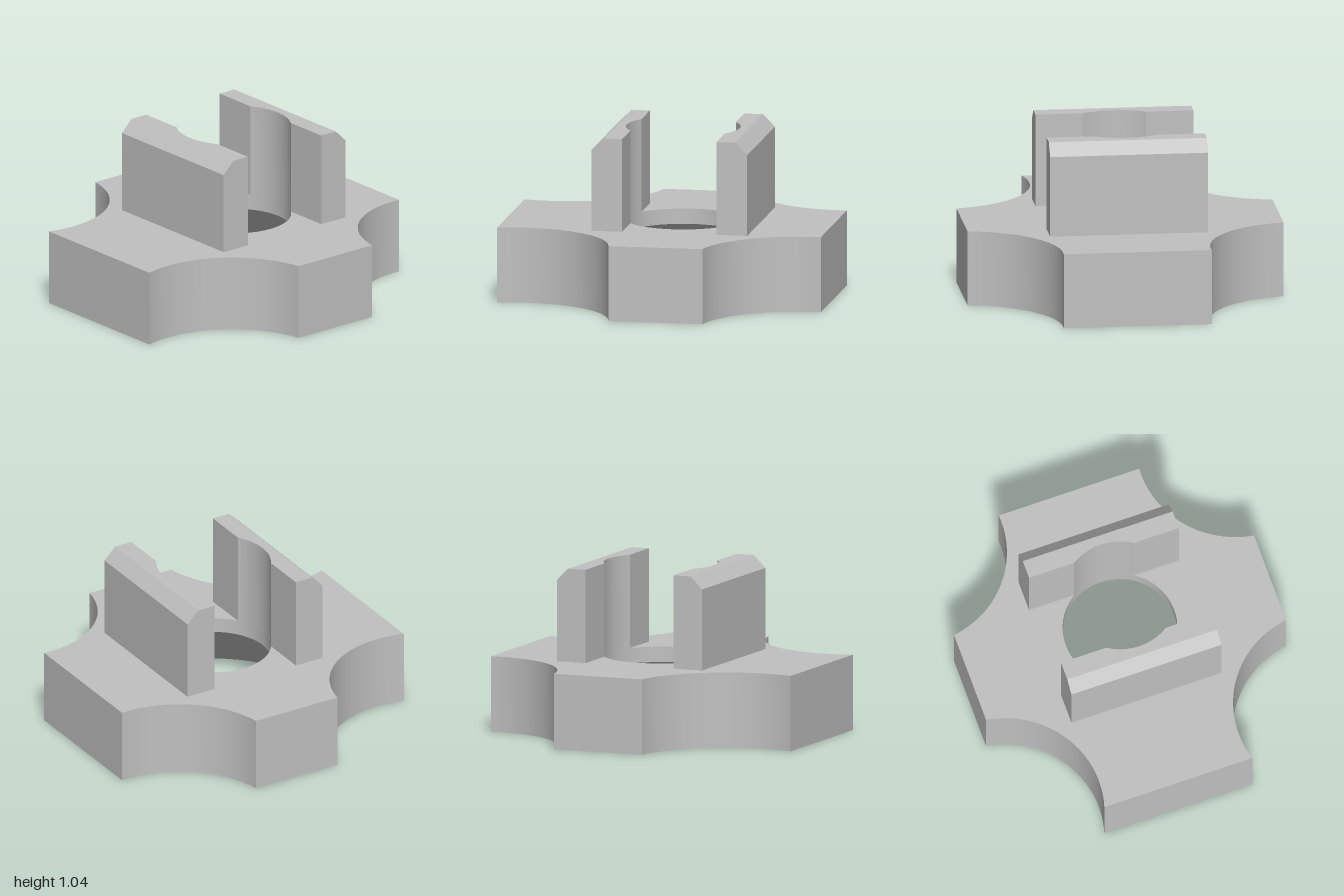
import * as THREE from 'three';
import { toCreasedNormals } from 'three/addons/utils/BufferGeometryUtils.js';

const BASE_H = 0.465, TOP = 1.04, BORE = 0.35, SINK = 0.7, SINK_H = 0.37;
const CUT = { x: 0.892, z: 1.06, r: 0.607 }; // corner scallop circle
const END_Z = 0.97, RIGHT = 0.933, LEFT = 1.067; // base extents about the bore axis
const FIN = { inner: 0.292, ridge: 0.407, outer: 0.483, half: 0.485, shoulder: 0.965 };

// Cross-shaped plan with four scalloped corners
function basePlan(holeRadius) {
  const shape = new THREE.Shape();
  const scallop = (sx, sz, sideFirst) => {
    const side = sx > 0 ? RIGHT : LEFT;
    const sideDz = -Math.sqrt(CUT.r ** 2 - (side - CUT.x) ** 2);
    const endDx = -Math.sqrt(CUT.r ** 2 - (END_Z - CUT.z) ** 2);
    const a = Math.atan2(sz * sideDz, sx * (side - CUT.x));
    const b = Math.atan2(sz * (END_Z - CUT.z), sx * endDx);
    shape.absarc(sx * CUT.x, sz * CUT.z, CUT.r, sideFirst ? a : b, sideFirst ? b : a, true);
  };
  scallop(1, 1, true);
  scallop(-1, 1, false);
  scallop(-1, -1, true);
  scallop(1, -1, false);
  shape.closePath();
  if (holeRadius) shape.holes.push(new THREE.Path().absarc(0, 0, holeRadius, 0, Math.PI * 2, true));
  return shape;
}

// Only the side walls of an extruded plan
function wallGeometry(shape, depth) {
  const full = new THREE.ExtrudeGeometry(shape, { depth, bevelEnabled: false, curveSegments: 32 });
  const { start, count } = full.groups[1];
  const wall = new THREE.BufferGeometry();
  const pos = full.attributes.position.array.slice(start * 3, (start + count) * 3);
  wall.setAttribute('position', new THREE.BufferAttribute(pos, 3));
  return toCreasedNormals(wall, 0.4).rotateX(-Math.PI / 2);
}

export function createModel() {
  const model = new THREE.Group();
  model.name = 'clampBlock';
  const grey = new THREE.MeshStandardMaterial({ color: 0xc0c0c0 });
  grey.name = 'lightGrey';
  const add = (parent, name, geometry) => {
    const mesh = new THREE.Mesh(geometry, grey);
    mesh.name = name;
    parent.add(mesh);
    return mesh;
  };

  // Base plate
  const base = new THREE.Group();
  base.name = 'base';
  model.add(base);
  add(base, 'baseWall', wallGeometry(basePlan(0), BASE_H));
  add(base, 'baseTop', new THREE.ShapeGeometry(basePlan(BORE), 32).rotateX(-Math.PI / 2)).position.y = BASE_H;
  add(base, 'baseBottom', new THREE.ShapeGeometry(basePlan(SINK), 32).rotateX(Math.PI / 2));

  // Bore opening into a conical countersink below
  const bore = [[BORE, BASE_H], [BORE, SINK_H], [SINK, 0]].map(p => new THREE.Vector2(...p));
  add(base, 'countersunkBore', toCreasedNormals(new THREE.LatheGeometry(bore, 64), 0.4));

  // Upright fins: an inner part bitten by the bore, and a chamfered outer part
  const bite = Math.acos(FIN.inner / BORE);
  const plan = new THREE.Shape();
  plan.moveTo(FIN.inner, -FIN.half);
  plan.lineTo(FIN.ridge, -FIN.half);
  plan.lineTo(FIN.ridge, FIN.half);
  plan.lineTo(FIN.inner, FIN.half);
  plan.absarc(0, 0, BORE, bite, -bite, true);
  plan.closePath();
  const innerGeo = toCreasedNormals(new THREE.ExtrudeGeometry(plan,
    { depth: TOP - BASE_H, bevelEnabled: false, curveSegments: 12 }), 0.4)
    .rotateX(-Math.PI / 2).translate(0, BASE_H, 0);

  const profile = new THREE.Shape([
    [FIN.ridge, BASE_H], [FIN.outer, BASE_H], [FIN.outer, FIN.shoulder], [FIN.ridge, TOP],
  ].map(p => new THREE.Vector2(...p)));
  const outerGeo = new THREE.ExtrudeGeometry(profile, { depth: FIN.half * 2, bevelEnabled: false })
    .translate(0, 0, -FIN.half);

  for (const [name, turn] of [['leftFin', 0], ['rightFin', Math.PI]]) {
    const fin = new THREE.Group();
    fin.name = name;
    fin.rotation.y = turn;
    add(fin, name + 'Inner', innerGeo);
    add(fin, name + 'Outer', outerGeo);
    model.add(fin);
  }

  // Bore axis sits slightly off the middle of the block
  model.position.x = (LEFT - RIGHT) / 2;
  return model;
}
